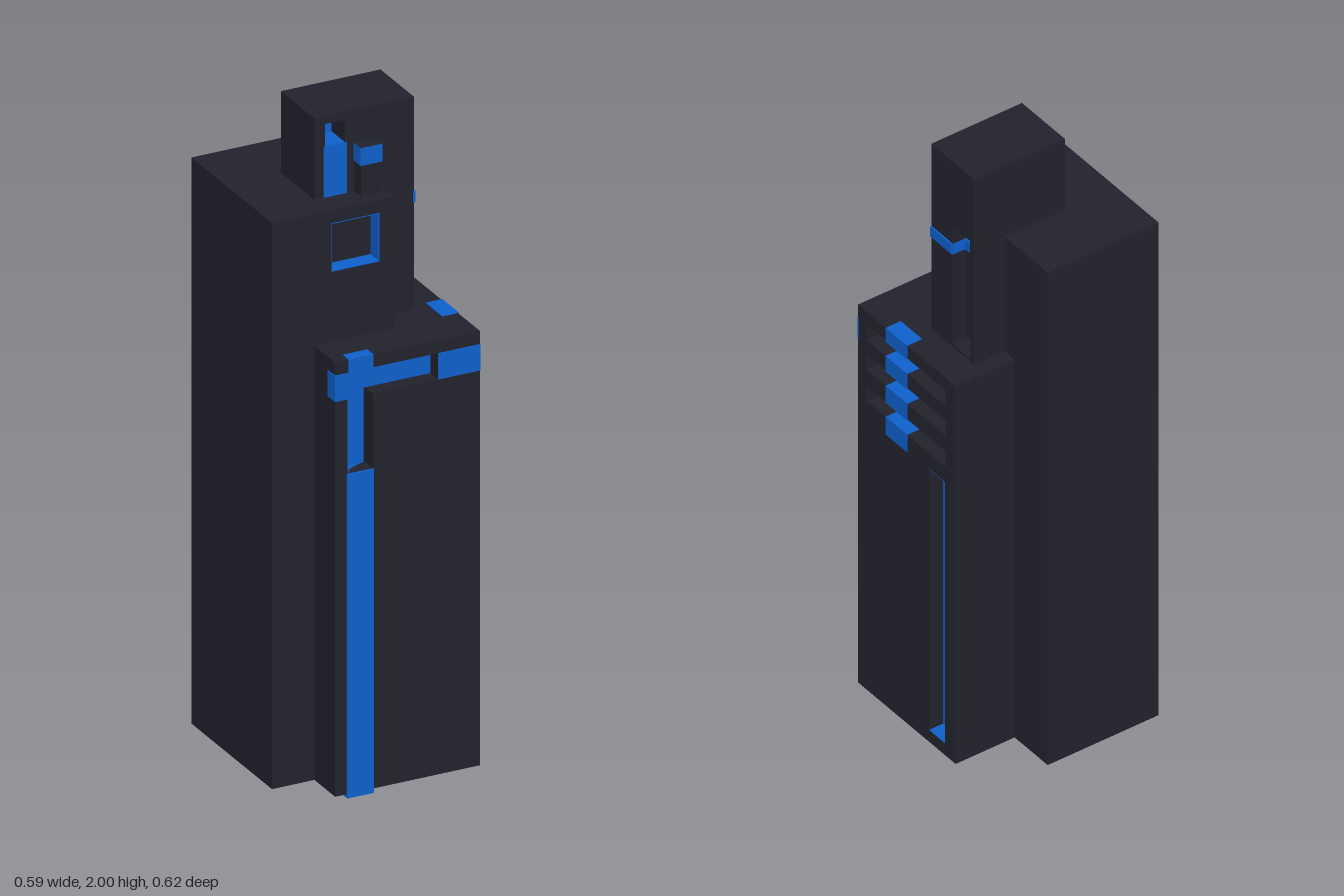
import * as THREE from 'three';

export function createModel() {
  const model = new THREE.Group();
  const dark = new THREE.MeshStandardMaterial({ color: 0x23232e });
  dark.name = 'charcoal';
  const blue = new THREE.MeshStandardMaterial({ color: 0x0f62d0 });
  blue.name = 'blue';

  // Box given by its limits
  function box(name, mat, x0, x1, y0, y1, z0, z1) {
    const mesh = new THREE.Mesh(new THREE.BoxGeometry(x1 - x0, y1 - y0, z1 - z0), mat);
    mesh.position.set((x0 + x1) / 2, (y0 + y1) / 2, (z0 + z1) / 2);
    mesh.name = name;
    model.add(mesh);
    return mesh;
  }

  const rect = (a, b, c, d) => [[a, c], [b, c], [b, d], [a, d]];
  const toPoints = (list) => list.map(([x, y]) => new THREE.Vector2(x, y));

  function pierced(name, outline, holes, depth) {
    const shape = new THREE.Shape(toPoints(outline));
    holes.forEach((h) => shape.holes.push(new THREE.Path(toPoints(h))));
    const mesh = new THREE.Mesh(
      new THREE.ExtrudeGeometry(shape, { depth, bevelEnabled: false }), dark);
    mesh.name = name;
    model.add(mesh);
    return mesh;
  }

  // Wall with openings, facing +z
  function frontWall(name, x0, x1, y0, y1, z0, z1, holes) {
    pierced(name, rect(x0, x1, y0, y1), holes, z1 - z0).position.z = z0;
  }

  // Wall with openings, facing +x; holes are [z0, z1, y0, y1]
  function sideWall(name, x0, x1, y0, y1, z0, z1, holes) {
    const cut = holes.map(([a, b, c, d]) => rect(-b, -a, c, d));
    const mesh = pierced(name, rect(-z1, -z0, y0, y1), cut, x1 - x0);
    mesh.rotation.y = Math.PI / 2;
    mesh.position.x = x0;
  }

  const t = 0.003;

  // Rear tower with a square window niche lined in blue
  box('rearTower', dark, -0.296, 0.088, 0.01, 1.75, -0.313, 0.127);
  frontWall('rearTowerFront', -0.296, 0.088, 0.01, 1.75, 0.127, 0.177,
    [rect(-0.11, 0.042, 1.56, 1.71)]);
  box('windowLiningRight', blue, -0.11, -0.11 + t, 1.56, 1.71, 0.127, 0.1765);
  box('windowLiningLeft', blue, 0.042 - t, 0.042, 1.56, 1.71, 0.127, 0.1765);
  box('windowLiningBottom', blue, -0.11, 0.042, 1.56, 1.56 + t, 0.127, 0.1765);
  box('windowLiningTop', blue, -0.11, 0.042, 1.71 - t, 1.71, 0.127, 0.1765);

  // Front tower: core, front wall with bent groove, side wall with slots
  const slots = [1.03, 1.14, 1.245];
  box('frontTower', dark, -0.163, 0.242, 0.01, 1.345, -0.157, 0.253);
  frontWall('frontTowerFront', -0.163, 0.242, 0.01, 1.345, 0.253, 0.303, [[
    [-0.125, 0.995], [-0.045, 0.995], [-0.045, 1.225],
    [0.16, 1.225], [0.16, 1.305], [-0.125, 1.305],
  ]]);
  sideWall('frontTowerSide', 0.242, 0.292, 0.01, 1.345, -0.157, 0.303, [
    ...slots.map((y) => [-0.11, 0.265, y, y + 0.055]),
    [-0.107, -0.033, 0.05, 0.975],
  ]);

  // Blue bands on the front of the front tower
  box('lowerStrip', blue, -0.128, -0.045, 0, 0.995, 0.253, 0.31);
  box('grooveStrip', blue, -0.122, -0.05, 0.995, 1.305, 0.253, 0.256);
  box('grooveBand', blue, -0.125, 0.16, 1.225, 1.305, 0.253, 0.257);
  box('topCap', blue, -0.122, -0.045, 1.305, 1.347, 0.27, 0.307);
  box('bandRight', blue, -0.165, -0.125, 1.225, 1.305, 0.26, 0.306);
  box('bandLeft', blue, 0.16, 0.2925, 1.225, 1.305, 0.302, 0.306);

  // Blue band that folds in and out of the side slots
  const edges = [0.97, ...slots.flatMap((y) => [y, y + 0.055]), 1.347];
  for (let i = 0; i < edges.length; i += 2) {
    box('slotBandOuter', blue, 0.242, 0.294, edges[i] - (i ? t : 0),
      edges[i + 1] + (i < 6 ? t : 0), 0.07, 0.17);
  }
  slots.forEach((y) => box('slotBandInner', blue, 0.24, 0.245, y, y + 0.055, 0.07, 0.17));

  // Tall side groove
  box('sideGrooveBack', blue, 0.24, 0.245, 0.05, 0.975, -0.107, -0.033);
  box('sideGrooveFloor', blue, 0.242, 0.2915, 0.05, 0.05 + t, -0.107, -0.033);
  box('sideGrooveCeiling', blue, 0.242, 0.2915, 0.975 - t, 0.975, -0.107, -0.033);

  // Top tower with a front niche and a side groove
  box('topTower', dark, -0.12, 0.143, 1.34, 2, -0.11, 0.012);
  frontWall('topTowerFront', -0.12, 0.193, 1.34, 2, 0.012, 0.092,
    [rect(-0.085, -0.025, 1.905, 1.975)]);
  sideWall('topTowerSide', 0.143, 0.193, 1.34, 2, -0.11, 0.012,
    [[-0.09, -0.007, 1.355, 1.77]]);
  box('topNicheBack', blue, -0.085, -0.025, 1.905, 1.975, 0.01, 0.015);
  box('topNicheFloor', blue, -0.085, -0.025, 1.9, 1.908, 0.012, 0.093);
  box('topStrip', blue, -0.09, -0.018, 1.75, 1.905, 0.09, 0.095);
  box('topSideBand', blue, 0.19, 0.198, 1.675, 1.71, -0.007, 0.093);
  box('topGrooveBand', blue, 0.14, 0.15, 1.67, 1.705, -0.09, -0.007);
  box('topGrooveWallBand', blue, 0.143, 0.195, 1.672, 1.707, -0.01, -0.006);

  // Small block in front of the top tower with a blue collar
  box('smallBlock', dark, 0.005, 0.07, 1.74, 1.845, 0.09, 0.135);
  const collar = box('smallBlockCollar', blue, 0.003, 0.072, 1.845, 1.9, 0.09, 0.137);
  collar.material = [blue, blue, dark, blue, blue, blue];

  return model;
}
